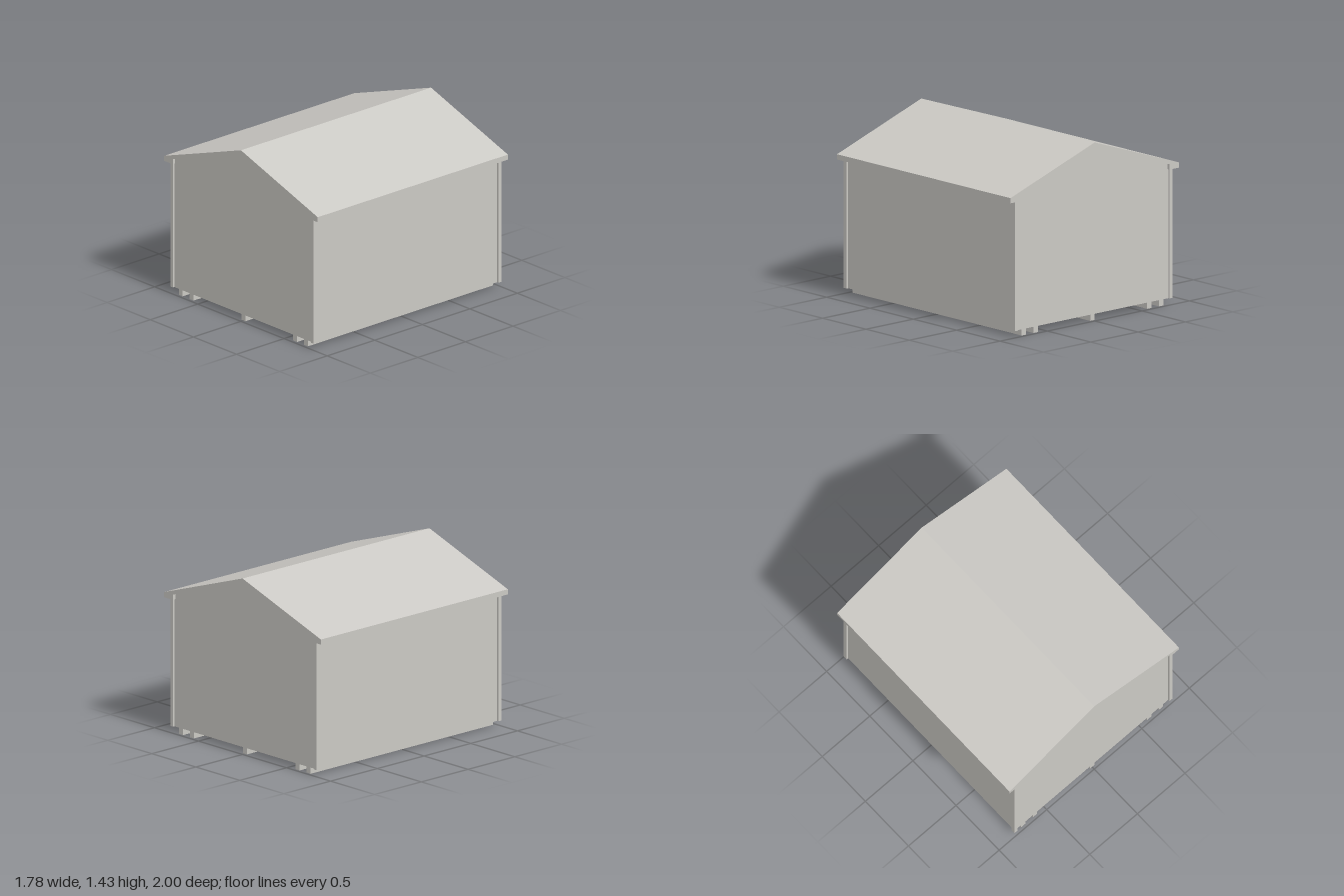
import * as THREE from 'three';

const siding = new THREE.MeshStandardMaterial({ color: 0xcbc9c4 });
siding.name = 'pale grey';

const BASE = 0.05, EAVE = 1.085;   // bottom and top of the walls
const WX = 0.815, WZ = 0.975;      // outer faces of the walls
const T = 0.006;                   // wall thickness

function extrude(points, depth) {
  const shape = new THREE.Shape(points.map(([x, y]) => new THREE.Vector2(x, y)));
  return new THREE.ExtrudeGeometry(shape, { depth, bevelEnabled: false });
}

export function createModel() {
  const group = new THREE.Group();
  group.name = 'shed';
  const add = (name, geometry, x = 0, y = 0, z = 0) => {
    const mesh = new THREE.Mesh(geometry, siding);
    mesh.name = name;
    mesh.position.set(x, y, z);
    group.add(mesh);
    return mesh;
  };

  // Gabled roof slab with boxed eaves
  add('roof', extrude([
    [0, 1.43], [-0.89, 1.127], [-0.89, EAVE], [-0.79, EAVE], [-0.79, 1.128],
    [0, 1.387], [0.79, 1.128], [0.79, EAVE], [0.89, EAVE], [0.89, 1.127],
  ], 2), 0, 0, -1);

  // Gable walls, hollow inside and open underneath
  const gable = extrude([
    [-WX, BASE], [WX, BASE], [WX, EAVE], [0.79, EAVE], [0.79, 1.128],
    [0, 1.387], [-0.79, 1.128], [-0.79, EAVE], [-WX, EAVE],
  ], T);
  add('frontWall', gable, 0, 0, WZ - T);
  add('backWall', gable, 0, 0, -WZ);

  // Side walls
  const side = new THREE.BoxGeometry(T, EAVE - BASE, 2 * (WZ - T));
  for (const s of [1, -1]) {
    add(s > 0 ? 'leftWall' : 'rightWall', side, s * (WX - T / 2), (EAVE + BASE) / 2, 0);
  }

  // L-shaped corner boards
  for (const sx of [1, -1]) {
    for (const sz of [1, -1]) {
      const corner = extrude([
        [0.80, WZ], [WX, WZ], [WX, 0.955], [0.83, 0.955], [0.83, 0.99], [0.80, 0.99],
      ].map(([x, z]) => [sx * x, -sz * z]), EAVE - BASE);
      corner.rotateX(-Math.PI / 2);
      add('cornerBoard', corner, 0, BASE, 0);
    }
  }

  // Floor skids running front to back
  for (const x of [-0.725, -0.6, 0, 0.6, 0.725]) {
    add('skid', new THREE.BoxGeometry(0.046, BASE, 2 * WZ), x, BASE / 2, 0);
  }

  return group;
}
